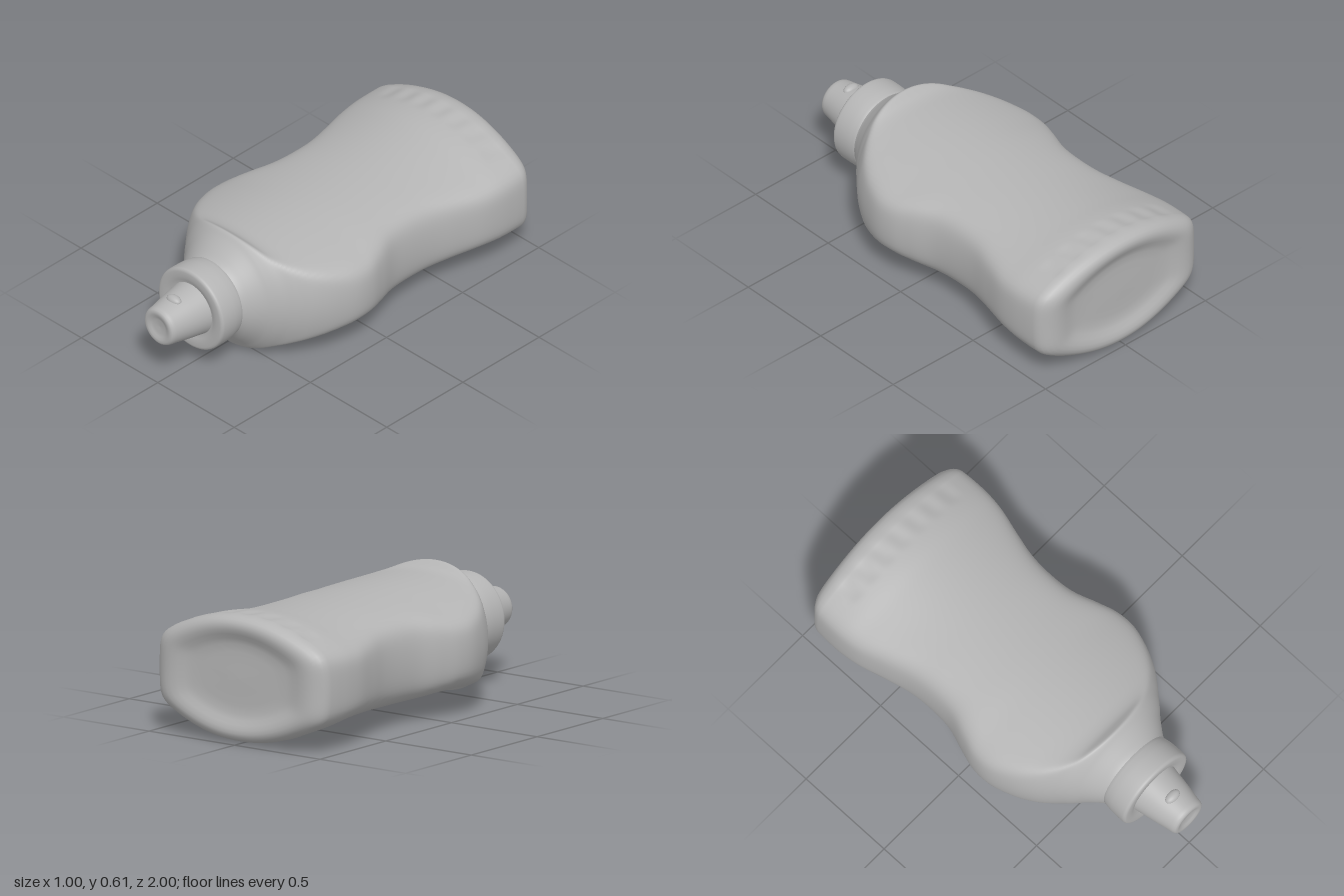
import * as THREE from 'three';

const CY = 0.31; // height of the bottle's long axis
const SEG = 144;

// Body stations, back to front: z, half width, side-wall bulge, face half height, face curvature, edge sharpness
const STATIONS = [
  [-0.92, 0.495, 0.85, 0.302, 0.62, 22],
  [-0.85, 0.5, 0.85, 0.3, 0.62, 22],
  [-0.76, 0.5, 0.8, 0.291, 0.6, 22],
  [-0.66, 0.488, 0.75, 0.277, 0.58, 20],
  [-0.53, 0.453, 0.65, 0.265, 0.55, 16],
  [-0.4, 0.422, 0.58, 0.258, 0.5, 13],
  [-0.27, 0.413, 0.55, 0.255, 0.45, 12],
  [-0.14, 0.424, 0.55, 0.255, 0.45, 13],
  [-0.02, 0.465, 0.56, 0.257, 0.47, 16],
  [0.08, 0.495, 0.58, 0.259, 0.5, 20],
  [0.18, 0.497, 0.55, 0.261, 0.5, 22],
  [0.29, 0.465, 0.49, 0.263, 0.5, 24],
  [0.38, 0.42, 0.43, 0.265, 0.5, 28],
  [0.44, 0.375, 0.39, 0.268, 0.48, 32],
  [0.48, 0.34, 0.357, 0.277, 0.46, 36],
  [0.51, 0.315, 0.333, 0.296, 0.44, 36],
  [0.535, 0.292, 0.308, 0.318, 0.4, 36],
  [0.56, 0.268, 0.28, 0.345, 0.3, 36],
  [0.6, 0.236, 0.242, 0.4, 0.2, 36],
  [0.64, 0.207, 0.208, 0.45, 0.1, 36],
  [0.68, 0.19, 0.19, 0.5, 0.1, 36],
];

// Rings that round the back edge and sink the base: scale, z
const BASE = [
  [0, -0.965], [0.2, -0.965], [0.42, -0.966], [0.55, -0.97], [0.64, -0.98], [0.71, -0.992],
  [0.78, -0.999], [0.84, -1], [0.895, -0.994], [0.94, -0.982], [0.972, -0.965], [0.992, -0.943],
];

// Radius of a section at an angle: an elliptical wall cut softly by an arched face
function sectionRadius(angle, [, w, wall, face, k, sharp]) {
  const c = Math.abs(Math.cos(angle)), s = Math.abs(Math.sin(angle));
  const a = 1 / Math.hypot(c / w, s / wall);
  const b = (2 * face) / (s + Math.sqrt(s * s + 4 * k * c * c * face));
  return Math.pow(Math.pow(a, -sharp) + Math.pow(b, -sharp), -1 / sharp);
}

// Shallow row of finger dimples across both faces near the base
function dimple(x, z) {
  const across = THREE.MathUtils.smoothstep(0.43 - Math.abs(x), 0, 0.05);
  const along = Math.max(0, 1 - Math.pow((z + 0.865) / 0.065, 2));
  return 0.007 * across * along * (0.5 + 0.5 * Math.cos((x * Math.PI * 2) / 0.11));
}

function bodyGeometry() {
  const rings = BASE.map(([scale, z]) => ({ scale, z, station: STATIONS[0] }));
  const curveA = new THREE.CatmullRomCurve3(
    STATIONS.map((s) => new THREE.Vector3(s[0], s[1], s[2])), false, 'catmullrom', 0.5);
  const curveB = new THREE.CatmullRomCurve3(
    STATIONS.map((s) => new THREE.Vector3(s[3], s[4], s[5])), false, 'catmullrom', 0.5);
  const steps = (STATIONS.length - 1) * 6;
  for (let i = 0; i <= steps; i++) {
    const a = curveA.getPoint(i / steps), b = curveB.getPoint(i / steps);
    rings.push({ scale: 1, z: a.x, station: [a.x, a.y, a.z, b.x, b.y, b.z] });
  }

  const positions = [], index = [];
  rings.forEach(({ scale, z, station }, i) => {
    // The back end dips toward the middle of its height
    const dip = 0.028 * scale * scale * THREE.MathUtils.clamp((-0.9 - z) / 0.08, 0, 1);
    for (let j = 0; j < SEG; j++) {
      const angle = (j / SEG) * Math.PI * 2;
      const r = sectionRadius(angle, station) * scale;
      const x = r * Math.cos(angle);
      let y = r * Math.sin(angle);
      y -= Math.sign(y) * Math.min(Math.abs(y), dimple(x, z));
      positions.push(x, CY + y, z + dip * (1 - Math.min(1, (y / 0.28) ** 2)));
      if (i === rings.length - 1) continue;
      const a = i * SEG + j, b = i * SEG + ((j + 1) % SEG);
      if (i > 0) index.push(a, b, a + SEG);
      index.push(b, b + SEG, a + SEG);
    }
  });
  const geometry = new THREE.BufferGeometry();
  geometry.setAttribute('position', new THREE.Float32BufferAttribute(positions, 3));
  geometry.setIndex(index);
  geometry.computeVertexNormals();
  return geometry;
}

// Lathe about the bottle's axis from [radius, z] pairs
function turned(profile) {
  const points = profile.map(([r, z]) => new THREE.Vector2(r, z));
  return new THREE.LatheGeometry(points, 72).rotateX(Math.PI / 2);
}

export function createModel() {
  const group = new THREE.Group();
  const plastic = new THREE.MeshStandardMaterial({ color: 0xb4b4b4 });
  plastic.name = 'grey plastic';

  const add = (name, geometry, x, y, z) => {
    const mesh = new THREE.Mesh(geometry, plastic);
    mesh.name = name;
    mesh.position.set(x, y, z);
    group.add(mesh);
    return mesh;
  };

  add('bottleBody', bodyGeometry(), 0, 0, 0);

  // Screw collar with a rolled rim
  add('collar', turned([
    [0.18, 0.636], [0.196, 0.638], [0.203, 0.645], [0.205, 0.66], [0.208, 0.675], [0.211, 0.7],
    [0.212, 0.74], [0.212, 0.77], [0.21, 0.78], [0.205, 0.786], [0.195, 0.789],
    [0.17, 0.789], [0.15, 0.784], [0.135, 0.778], [0.1, 0.776],
  ]), 0, 0.313, 0);

  // Tapered nozzle with a dished tip
  add('nozzle', turned([
    [0.134, 0.77], [0.131, 0.79], [0.127, 0.81], [0.121, 0.85], [0.112, 0.9], [0.104, 0.94],
    [0.099, 0.97], [0.096, 0.985], [0.09, 0.995], [0.08, 1], [0.066, 0.999], [0.052, 0.993],
    [0.036, 0.988], [0, 0.986],
  ]), 0, 0.317, 0);

  // Small catch on top of the nozzle
  add('nozzleCatch', new THREE.SphereGeometry(1, 24, 16), 0, 0.422, 0.893).scale.set(0.042, 0.023, 0.026);

  return group;
}
